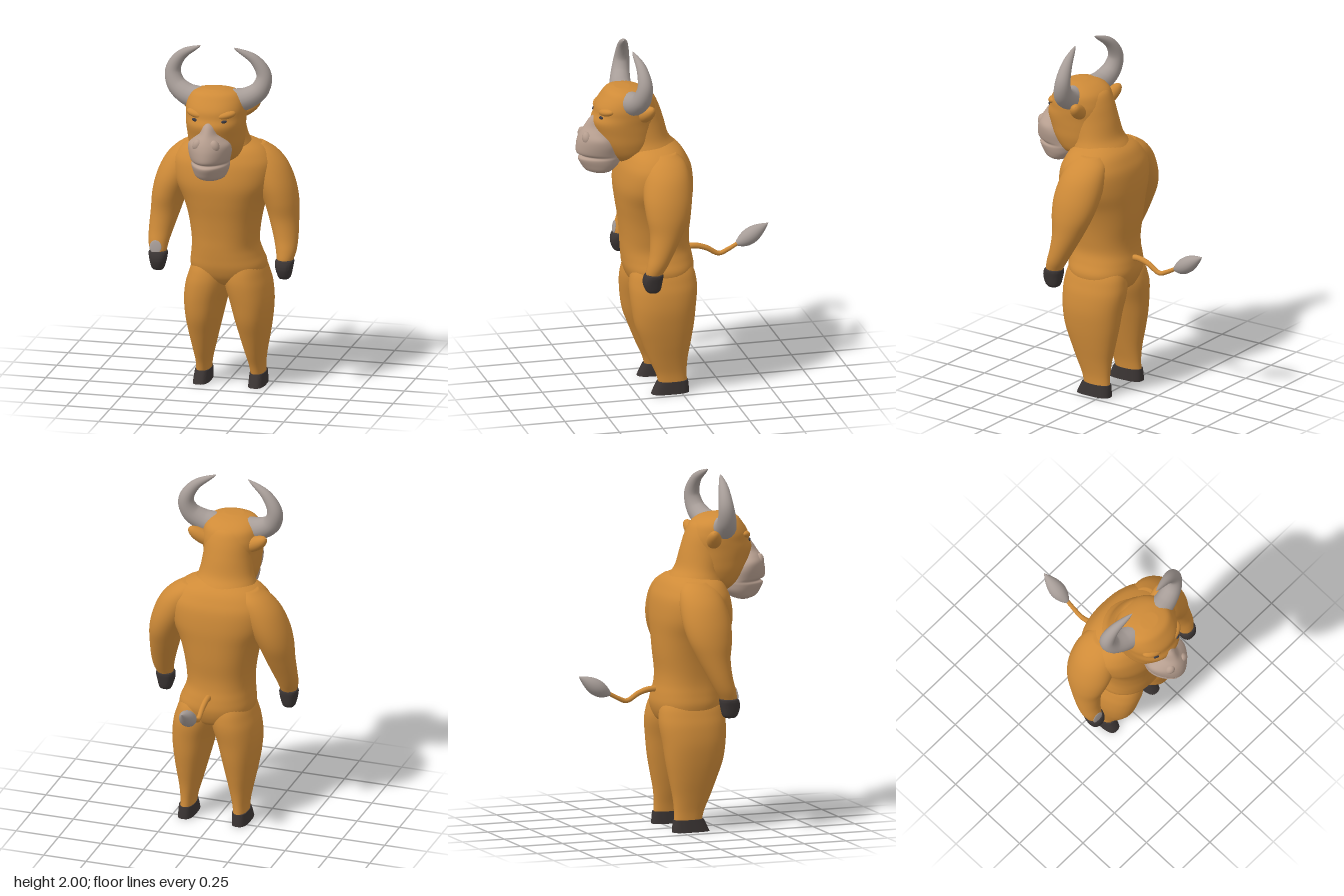
import * as THREE from 'three';
import { mergeVertices, toCreasedNormals } from 'three/addons/utils/BufferGeometryUtils.js';

const mat = (name, color) => {
  const m = new THREE.MeshStandardMaterial({ color });
  m.name = name;
  return m;
};

// Horizontal oval slices, bottom to top: [y, x0, x1, z0, z1], smoothed between rows.
// narrow makes each slice slimmer towards +z.
function loft(rows, { around = 36, steps = 5, power = 2, narrow = 0 } = {}) {
  const spans = rows.length - 1;
  const at = (k, c) => rows[Math.min(Math.max(k, 0), spans)][c];
  const spline = (t, c) => {
    const k = Math.min(Math.floor(t), spans - 1), u = t - k;
    const a = at(k - 1, c), b = at(k, c), d = at(k + 1, c), e = at(k + 2, c);
    return b + 0.5 * u * (d - a + u * (2 * a - 5 * b + 4 * d - e + u * (3 * (b - d) + e - a)));
  };
  const bend = v => Math.sign(v) * Math.abs(v) ** (2 / power);
  const pos = [], index = [], n = spans * steps;
  for (let i = 0; i <= n; i++) {
    const [y, x0, x1, z0, z1] = [0, 1, 2, 3, 4].map(c => spline(i / steps, c));
    for (let j = 0; j < around; j++) {
      const a = (j / around) * Math.PI * 2, forward = bend(Math.sin(a));
      pos.push((x0 + x1) / 2 + bend(Math.cos(a)) * (1 - narrow * forward) * (x1 - x0) / 2, y,
        (z0 + z1) / 2 + forward * (z1 - z0) / 2);
      if (i === n) continue;
      const p = i * around + j, q = i * around + (j + 1) % around;
      index.push(p, p + around, q, q, p + around, q + around);
    }
  }
  // End caps
  const bottom = pos.length / 3, top = bottom + 1, last = n * around;
  for (const r of [rows[0], rows[spans]]) pos.push((r[1] + r[2]) / 2, r[0], (r[3] + r[4]) / 2);
  for (let j = 0; j < around; j++) {
    const k = (j + 1) % around;
    index.push(bottom, j, k, top, last + k, last + j);
  }
  const g = new THREE.BufferGeometry();
  g.setAttribute('position', new THREE.Float32BufferAttribute(pos, 3));
  g.setIndex(index);
  g.computeVertexNormals();
  return g;
}

// Tube whose radius follows a function of its length
function taperTube(points, radius, tubular = 40, radial = 18) {
  const path = new THREE.CatmullRomCurve3(points.map(p => new THREE.Vector3(...p)));
  let g = new THREE.TubeGeometry(path, tubular, 1, radial, false);
  const p = g.attributes.position, v = new THREE.Vector3();
  for (let i = 0; i < p.count; i++) {
    const t = Math.floor(i / (radial + 1)) / tubular, c = path.getPointAt(t);
    v.fromBufferAttribute(p, i).sub(c).multiplyScalar(Math.max(radius(t), 0.001)).add(c);
    p.setXYZ(i, v.x, v.y, v.z);
  }
  g.deleteAttribute('uv');
  g.deleteAttribute('normal');
  g = mergeVertices(g, 1e-5);
  g.computeVertexNormals();
  return g;
}

// Rows [y, halfWidth, z0, z1, shift] about the middle, and rows mirrored to one side
const centred = rows => rows.map(([y, w, z0, z1, dx = 0]) => [y, dx - w, dx + w, z0, z1]);
const sided = (rows, s) => rows.map(([y, a, b, z0, z1]) => s > 0 ? [y, a, b, z0, z1] : [y, -b, -a, z0, z1]);

export function createModel() {
  const hide = mat('hide', 0xcf8b38), muzzleSkin = mat('muzzle skin', 0xb69e8f);
  const horn = mat('horn', 0xa79d98), hoof = mat('hoof', 0x3b3534), eye = mat('eye', 0x3a3a44);
  const model = new THREE.Group();
  model.name = 'standingBull';
  const add = (name, geometry, material, parent = model) => {
    const m = new THREE.Mesh(geometry, material);
    m.name = name;
    parent.add(m);
    return m;
  };
  const blob = (name, material, pos, size, rot = [0, 0, 0], parent = model) => {
    const m = add(name, new THREE.SphereGeometry(1, 20, 14), material, parent);
    m.position.set(...pos);
    m.scale.set(...size);
    m.rotation.set(...rot);
  };

  // Torso, weight slightly on one hip
  add('torso', loft(centred([
    [0.585, 0.04, 0.02, 0.15, 0.014], [0.61, 0.13, -0.06, 0.22, 0.015], [0.65, 0.195, -0.09, 0.262, 0.015],
    [0.71, 0.212, -0.106, 0.286, 0.014], [0.77, 0.198, -0.1, 0.293, 0.006], [0.83, 0.186, -0.088, 0.297],
    [0.9, 0.19, -0.085, 0.3], [1.0, 0.206, -0.095, 0.31], [1.1, 0.235, -0.1, 0.325], [1.2, 0.28, -0.102, 0.333],
    [1.3, 0.292, -0.09, 0.318], [1.36, 0.268, -0.065, 0.296], [1.41, 0.215, -0.03, 0.265], [1.45, 0.12, 0.03, 0.21],
  ]), { power: 2.3, around: 48 }), hide);

  // Head and neck, set a touch to the right
  const head = new THREE.Group();
  head.name = 'head';
  head.position.x = -0.012;
  model.add(head);
  add('neck', loft(centred([
    [1.2, 0.2, -0.08, 0.28], [1.33, 0.205, -0.06, 0.3], [1.39, 0.19, -0.035, 0.295], [1.43, 0.17, -0.005, 0.29],
    [1.48, 0.152, 0.03, 0.29], [1.57, 0.14, 0.055, 0.32], [1.66, 0.13, 0.085, 0.32], [1.72, 0.1, 0.12, 0.3],
    [1.74, 0.04, 0.18, 0.26],
  ])), hide, head);
  add('skull', loft(centred([
    [1.34, 0.06, 0.22, 0.33], [1.38, 0.125, 0.14, 0.37], [1.45, 0.152, 0.1, 0.42], [1.52, 0.16, 0.09, 0.445],
    [1.58, 0.165, 0.09, 0.462], [1.625, 0.168, 0.09, 0.447], [1.67, 0.168, 0.1, 0.437], [1.72, 0.155, 0.125, 0.405],
    [1.755, 0.12, 0.18, 0.375], [1.772, 0.05, 0.25, 0.33],
  ]), { power: 2.15, around: 48 }), hide, head);

  // Muzzle with a mouth crease, narrowing up the bridge of the nose
  add('muzzle', loft(centred([
    [1.278, 0.045, 0.385, 0.46], [1.295, 0.08, 0.345, 0.5], [1.33, 0.098, 0.31, 0.525], [1.365, 0.106, 0.3, 0.54],
    [1.382, 0.104, 0.3, 0.522], [1.4, 0.11, 0.305, 0.55], [1.45, 0.12, 0.32, 0.55], [1.49, 0.115, 0.35, 0.54],
    [1.52, 0.085, 0.38, 0.526], [1.55, 0.05, 0.4, 0.506], [1.59, 0.032, 0.42, 0.479], [1.61, 0.014, 0.43, 0.458],
  ]), { around: 48, narrow: 0.22 }), muzzleSkin, head);

  for (const s of [1, -1]) {
    const side = s > 0 ? 'left' : 'right';
    const mirror = points => points.map(([x, y, z]) => [s * x, y, z]);
    // Horns, ears, eyes and nose wings
    add(side + 'Horn', taperTube(mirror([
      [0.1, 1.695, 0.262], [0.175, 1.715, 0.252], [0.24, 1.762, 0.235], [0.262, 1.84, 0.222],
      [0.212, 1.93, 0.228], [0.095, 2.0, 0.252],
    ]), t => 0.069 * (1 - t) ** 0.66), horn, head);
    add(side + 'Ear', taperTube(mirror([
      [0.12, 1.625, 0.2], [0.16, 1.645, 0.19], [0.195, 1.668, 0.178], [0.225, 1.695, 0.165],
    ]), t => 0.043 * Math.sqrt(1 - t ** 2.5)), hide, head);
    blob(side + 'Brow', hide, [s * 0.085, 1.65, 0.398], [0.06, 0.024, 0.034], [0, s * 0.4, s * 0.18], head);
    blob(side + 'Eye', eye, [s * 0.085, 1.62, 0.43], [0.016, 0.009, 0.007], [0, s * 0.4, s * 0.1], head);
    blob(side + 'NoseWing', muzzleSkin, [s * 0.05, 1.495, 0.503], [0.028, 0.036, 0.026], [0, s * 0.4, s * 0.35], head);

    // Arm and hand hoof
    add(side + 'Arm', loft(sided([
      [0.755, 0.325, 0.4, 0.165, 0.24], [0.78, 0.318, 0.412, 0.15, 0.247], [0.83, 0.308, 0.425, 0.12, 0.238],
      [0.9, 0.288, 0.428, 0.082, 0.222], [1.0, 0.256, 0.424, 0.03, 0.216], [1.1, 0.222, 0.418, -0.015, 0.232],
      [1.2, 0.17, 0.396, -0.037, 0.238], [1.3, 0.12, 0.352, -0.037, 0.222], [1.37, 0.1, 0.29, -0.018, 0.195],
      [1.415, 0.1, 0.218, 0.025, 0.15],
    ], s)), hide);
    add(side + 'HandHoof', toCreasedNormals(loft(sided([
      [0.67, 0.335, 0.39, 0.18, 0.235], [0.685, 0.328, 0.4, 0.165, 0.25], [0.73, 0.315, 0.41, 0.155, 0.264],
      [0.77, 0.312, 0.416, 0.15, 0.256], [0.78, 0.325, 0.405, 0.16, 0.24],
    ], s), { power: 2.5 }), 0.7), hoof);

    // Leg and foot hoof, the right one standing closer in
    const leg = new THREE.Group();
    leg.name = side + 'LegGroup';
    leg.position.x = s > 0 ? 0 : 0.032;
    model.add(leg);
    add(side + 'Leg', loft(sided([
      [0.06, 0.133, 0.212, -0.038, 0.125], [0.12, 0.125, 0.213, -0.036, 0.142], [0.2, 0.105, 0.225, -0.043, 0.178],
      [0.3, 0.08, 0.244, -0.062, 0.218], [0.4, 0.055, 0.259, -0.08, 0.255], [0.5, 0.03, 0.266, -0.092, 0.272],
      [0.59, 0.003, 0.257, -0.104, 0.28], [0.65, -0.005, 0.24, -0.102, 0.278], [0.71, 0.0, 0.217, -0.088, 0.265],
      [0.78, 0.01, 0.17, -0.05, 0.235], [0.84, 0.04, 0.13, 0, 0.18],
    ], s), { power: 2.2 }), hide, leg);
    add(side + 'FootHoof', toCreasedNormals(loft(sided([
      [0, 0.128, 0.222, -0.048, 0.168], [0.035, 0.129, 0.219, -0.046, 0.152], [0.07, 0.13, 0.216, -0.042, 0.134],
    ], s), { power: 2.8 }), 0.7), hoof, leg);
  }

  // Pale patch on the right wrist
  blob('wristPatch', horn, [-0.37, 0.805, 0.241], [0.034, 0.038, 0.0045], [-0.15, 0, 0]);

  // Tail and its tuft
  add('tail', taperTube([
    [0.008, 0.79, -0.06], [0.008, 0.792, -0.13], [0.008, 0.775, -0.19], [0.008, 0.735, -0.265],
    [0.008, 0.755, -0.32], [0.008, 0.785, -0.375],
  ], t => 0.018 - 0.007 * t), hide);
  add('tailTuft', taperTube([
    [0.006, 0.775, -0.358], [0.006, 0.805, -0.42], [0.006, 0.85, -0.49], [0.006, 0.888, -0.55],
  ], t => 0.046 * Math.sin(Math.PI * t ** 0.85) ** 0.9), horn);

  return model;
}
